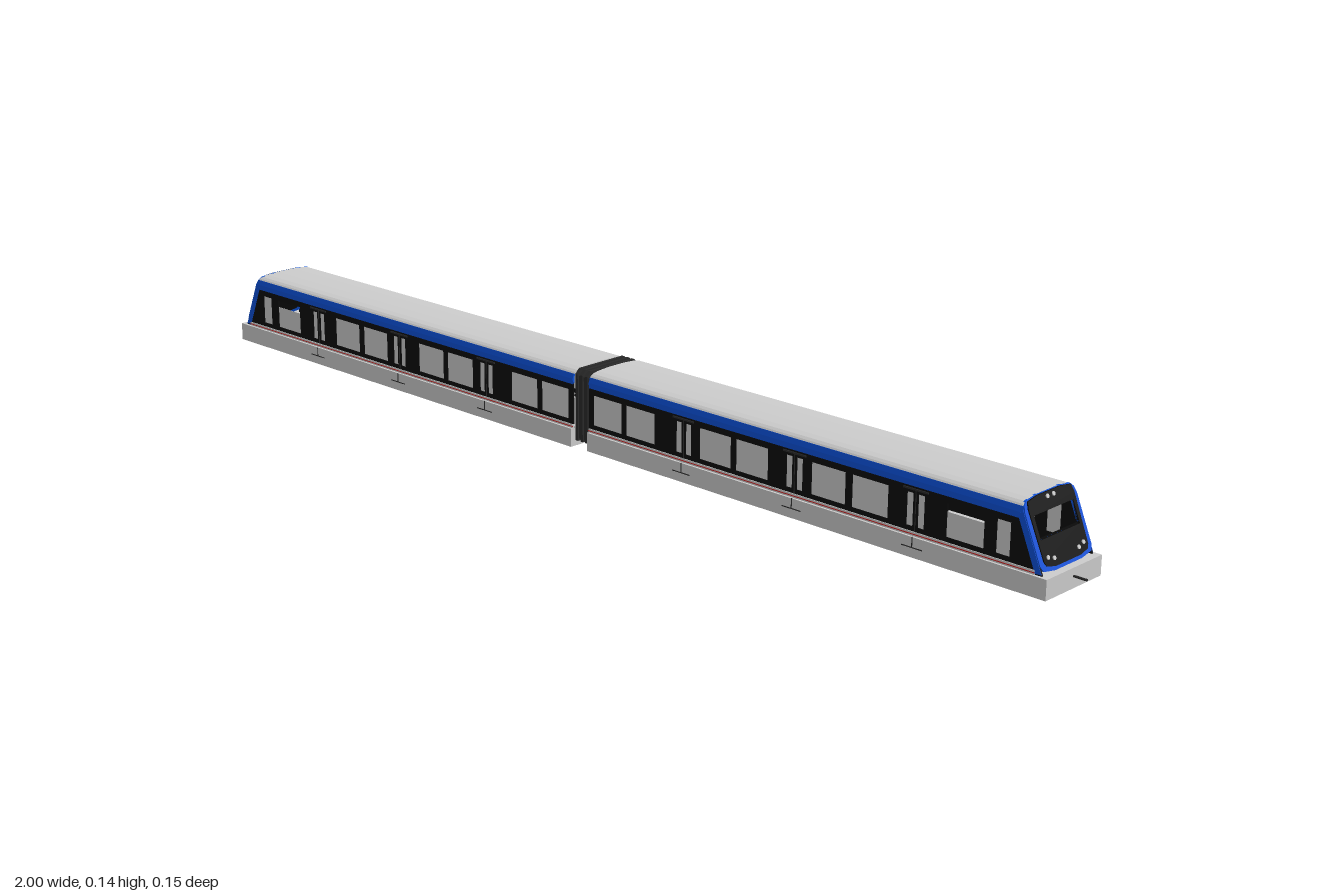
import * as THREE from 'three';

const mat = (color) => new THREE.MeshStandardMaterial({ color, side: THREE.DoubleSide });
const M = {
  grey: mat(0xcccccc), black: mat(0x0a0a0a), blue: mat(0x0a50d8),
  red: mat(0xc82020), dark: mat(0x2a2a2a),
};
const LEN = 0.97, HALF = 0.067;
// raked nose: position along the car at height y
const noseAt = (y) => 0.957 - (y - 0.036) * 0.42;

function add(parent, name, geo, material, x = 0, y = 0, z = 0) {
  const m = new THREE.Mesh(geo, material);
  m.name = name;
  m.position.set(x, y, z);
  parent.add(m);
  return m;
}
const box = (parent, name, material, x0, x1, y0, y1, z0, z1) =>
  add(parent, name, new THREE.BoxGeometry(x1 - x0, y1 - y0, z1 - z0), material,
    (x0 + x1) / 2, (y0 + y1) / 2, (z0 + z1) / 2);

const toShape = (pts) => new THREE.Shape(pts.map(([a, b]) => new THREE.Vector2(a, b)));
const rect = (x0, x1, y0, y1) => [[x0, y0], [x1, y0], [x1, y1], [x0, y1]];
const mirrored = (half) => [...half, ...half.slice().reverse().map(([a, b]) => [-a, b])];
function withHoles(pts, holes) {
  const s = toShape(pts);
  holes.forEach((h) => s.holes.push(toShape(h)));
  return s;
}

// cross-section in (z, y) swept along the car; place(t, y) gives x for t = 0..1
function sweep(shape, place) {
  const g = new THREE.ExtrudeGeometry(shape, { depth: 1, bevelEnabled: false });
  g.rotateY(Math.PI / 2);
  const p = g.attributes.position;
  for (let i = 0; i < p.count; i++) p.setX(i, place(p.getX(i), p.getY(i)));
  g.computeVertexNormals();
  return g;
}

const doors = [0.228, 0.474, 0.72];
const wideWindows = [[0.012, 0.08], [0.092, 0.16], [0.265, 0.335], [0.347, 0.417],
  [0.51, 0.58], [0.594, 0.666]];
const WIN = [0.049, 0.104];

function buildSide(car, s) {
  const side = new THREE.Group();
  side.name = s > 0 ? 'sideA' : 'sideB';
  car.add(side);
  const slab = (name, shape, material, thick, outer) =>
    add(side, name, new THREE.ExtrudeGeometry(shape, { depth: thick, bevelEnabled: false }),
      material, 0, 0, s > 0 ? outer - thick : -outer);

  const panes = [...wideWindows, [0.873, 0.898]];
  doors.forEach((d) => panes.push([d - 0.017, d - 0.005], [d + 0.005, d + 0.017]));
  const openings = panes.map(([a, b]) => rect(a, b, ...WIN));
  openings.push(rect(0.78, 0.85, ...WIN));

  // window wall with raked front edge
  const wall = [[0, 0.034], [noseAt(0.034), 0.034], [noseAt(0.118), 0.118], [0, 0.118]];
  slab('windowWall', withHoles(wall, openings), M.black, 0.003, HALF);
  panes.forEach(([a, b]) => slab('windowPane', toShape(rect(a, b, ...WIN)), M.grey, 0.001, HALF - 0.001));
  // cab window: glazed below, open above
  slab('cabWindowPane', toShape(rect(0.78, 0.85, WIN[0], 0.09)), M.grey, 0.001, HALF - 0.001);

  // blue edge that follows the nose
  const strip = [[noseAt(0.036) - 0.012, 0.036], [noseAt(0.036), 0.036],
    [noseAt(0.125), 0.125], [noseAt(0.125) - 0.012, 0.125]];
  slab('noseEdge', toShape(strip), M.blue, 0.002, HALF + 0.0008);

  // sill with red line
  const bar = (name, m, x0, x1, y0, y1, z0, z1) =>
    box(side, name, m, x0, x1, y0, y1, Math.min(s * z0, s * z1), Math.max(s * z0, s * z1));
  bar('sill', M.grey, 0, 0.945, 0.034, 0.041, 0.064, 0.0685);
  bar('redLine', M.red, 0, 0.945, 0.0365, 0.038, 0.067, 0.069);

  // doors: seam, overhead rail and step
  doors.forEach((d) => {
    bar('doorSeam', M.dark, d - 0.0008, d + 0.0008, 0.041, 0.112, 0.066, 0.0678);
    bar('doorRail', M.dark, d - 0.024, d + 0.024, 0.109, 0.112, 0.066, 0.069);
    bar('doorStep', M.dark, d - 0.02, d + 0.02, 0.016, 0.0175, 0.071, 0.0735);
    bar('stepHanger', M.dark, d - 0.0008, d + 0.0008, 0.0175, 0.034, 0.071, 0.0732);
  });
}

function buildNose(car) {
  const nose = new THREE.Group();
  nose.name = 'nose';
  car.add(nose);
  const windshield = rect(-0.051, 0.051, 0.083, 0.118);
  const outer = mirrored([[0.035, 0.036], [0.062, 0.04], [HALF, 0.049], [HALF, 0.125],
    [0.064, 0.134], [0.057, 0.14], [0.03, 0.143]]);
  const inner = mirrored([[0.032, 0.042], [0.053, 0.046], [0.057, 0.052], [0.059, 0.128],
    [0.056, 0.139], [0.03, 0.1425]]);
  add(nose, 'noseFrame', sweep(withHoles(outer, [windshield]), (t, y) => noseAt(y) - 0.002 + t * 0.004), M.blue);
  add(nose, 'noseFace', sweep(withHoles(inner, [windshield]), (t, y) => noseAt(y) - 0.003 + t * 0.007), M.black);

  // headlights and roof lights
  [[0.046, 0.057], [0.032, 0.053], [0.008, 0.136]].forEach(([z, y]) => {
    for (const s of [-1, 1]) {
      const g = new THREE.CylinderGeometry(0.0035, 0.0035, 0.005, 16).rotateZ(-Math.PI / 2 + 0.4);
      add(nose, 'light', g, M.grey, noseAt(y) + 0.003, y, s * z);
    }
  });
}

function buildCar(name) {
  const car = new THREE.Group();
  car.name = name;
  box(car, 'underframe', M.grey, 0, LEN, 0, 0.034, -0.0725, 0.0725);
  for (const s of [-1, 1]) {
    buildSide(car, s);
    // blue band below the roof edge
    const band = [[s * HALF, 0.115], [s * (HALF + 0.0006), 0.125], [s * 0.0645, 0.134],
      [s * 0.062, 0.134], [s * 0.064, 0.115]];
    add(car, 'blueBand', sweep(toShape(band), (t, y) => t * noseAt(y)), M.blue);
  }
  // arched roof shell
  const roof = [...mirrored([[0.0645, 0.1335], [0.062, 0.1365], [0.057, 0.1395], [0.045, 0.1418], [0.02, 0.1435]]),
    [-0.062, 0.1335], [-0.045, 0.139], [-0.02, 0.141], [0.02, 0.141], [0.045, 0.139], [0.062, 0.1335]];
  add(car, 'roof', sweep(toShape(roof), (t, y) => t * noseAt(y)), M.grey);
  buildNose(car);
  return car;
}

export function createModel() {
  const model = new THREE.Group();
  model.name = 'train';

  const right = buildCar('carOne');
  right.position.set(0.006, 0, -0.002);
  const left = buildCar('carTwo');
  left.rotation.y = Math.PI;
  left.position.set(-0.03, 0, 0.002);
  model.add(right, left);

  // folded gangway between the cars
  const bellows = new THREE.Group();
  bellows.name = 'gangway';
  model.add(bellows);
  const ribs = 6, pitch = 0.036 / ribs;
  for (let i = 0; i < ribs; i++) {
    const k = i % 2 ? 0.003 : 0;
    const ring = withHoles(
      mirrored([[0.063 - k, 0.01 + k], [0.063 - k, 0.133 - k], [0.054 - k, 0.142 - k]]),
      [rect(-0.054, 0.054, 0.04, 0.128)]);
    add(bellows, 'gangwayFold', sweep(ring, (t) => -0.03 + (i + t) * pitch), M.dark);
  }

  // coupler rod at the leading end
  const rod = new THREE.CylinderGeometry(0.002, 0.002, 0.026, 12).rotateZ(Math.PI / 2);
  add(model, 'coupler', rod, M.dark, 0.987, 0.02, -0.001);
  return model;
}
